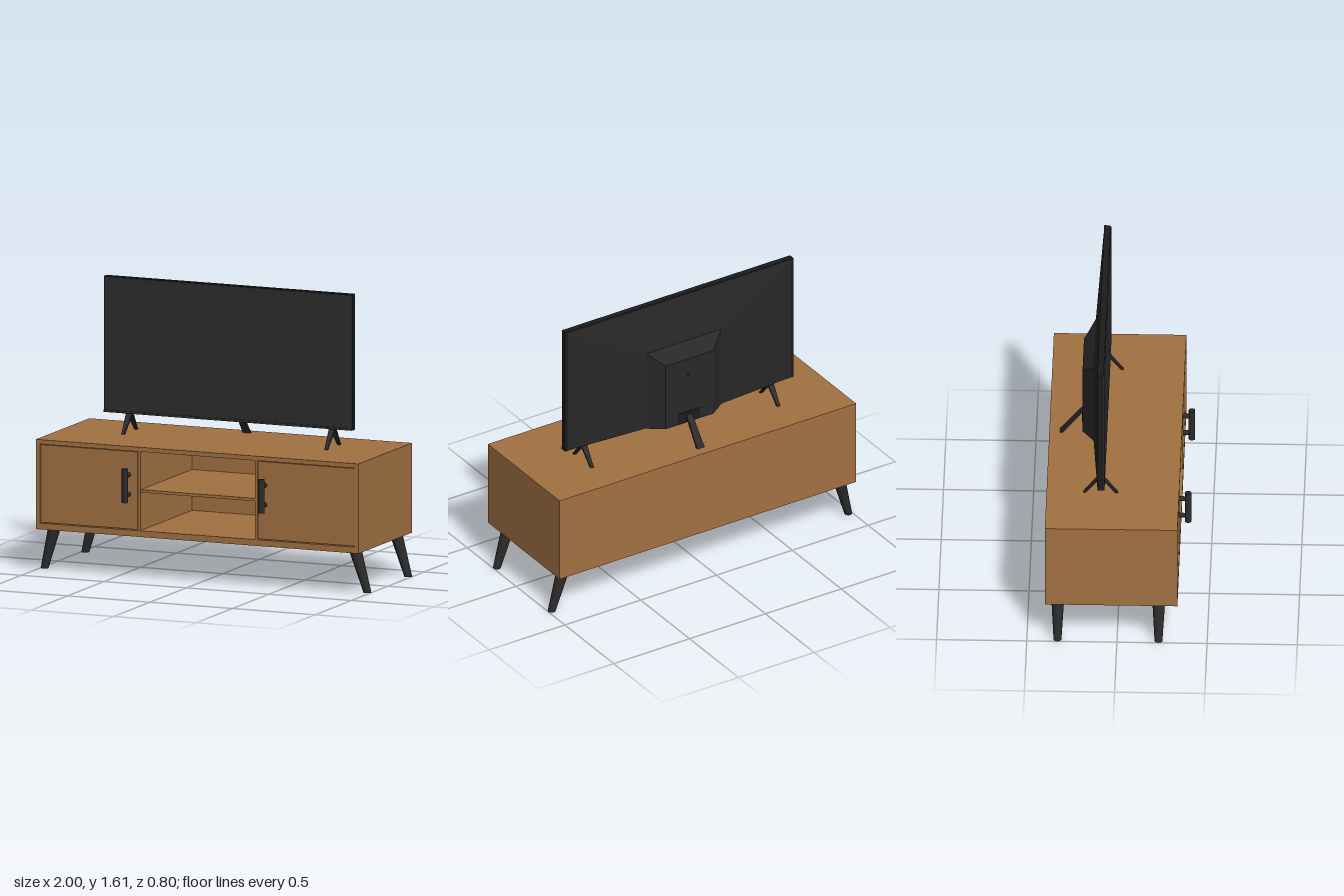
import * as THREE from 'three';
import { ConvexGeometry } from 'three/addons/geometries/ConvexGeometry.js';

const mat = (name, color) => new THREE.MeshStandardMaterial({ name, color });

export function createModel() {
  const model = new THREE.Group();
  model.name = 'televisionOnCabinet';
  const wood = mat('oak wood', 0xa27142);
  const dark = mat('charcoal', 0x2b2b2b);
  const frameMat = mat('frame black', 0x1c1c1c);
  const screenMat = mat('screen grey', 0x2d2d2d);
  const shellMat = mat('shell grey', 0x282828);

  const add = (parent, name, geometry, material) => {
    const mesh = new THREE.Mesh(geometry, material);
    mesh.name = name;
    parent.add(mesh);
    return mesh;
  };
  const group = (name) => {
    const g = new THREE.Group();
    g.name = name;
    model.add(g);
    return g;
  };
  // box given by its limits
  const box = (parent, name, material, x0, x1, y0, y1, z0, z1) => {
    const g = new THREE.BoxGeometry(x1 - x0, y1 - y0, z1 - z0);
    g.translate((x0 + x1) / 2, (y0 + y1) / 2, (z0 + z1) / 2);
    return add(parent, name, g, material);
  };
  // solid spanned by two rectangles: [x0, x1, y0, y1, z]
  const rect = ([x0, x1, y0, y1, z]) =>
    [[x0, y0], [x1, y0], [x1, y1], [x0, y1]].map(([x, y]) => new THREE.Vector3(x, y, z));
  const frustum = (a, b) => new ConvexGeometry([...rect(a), ...rect(b)]);
  // flat blade from a top to a bottom point in the y-z plane: [x, y, z, width]
  const blade = (top, bottom, t) => new ConvexGeometry([top, bottom].flatMap(([x, y, z, w]) =>
    [[-1, -1], [1, -1], [1, 1], [-1, 1]].map(([i, j]) =>
      new THREE.Vector3(x + i * w / 2, y, z + j * t / 2))));

  // cabinet carcass
  const cabinet = group('cabinet');
  const L = -0.985, R = 0.97, B = 0.235, T = 0.74, back = -0.4, front = 0.335;
  box(cabinet, 'topPanel', wood, L, R, 0.715, T, back, front);
  box(cabinet, 'bottomPanel', wood, L, R, B, 0.27, back, front);
  box(cabinet, 'rightPanel', wood, L, L + 0.025, 0.27, 0.715, back, front);
  box(cabinet, 'leftPanel', wood, R - 0.025, R, 0.27, 0.715, back, front);
  box(cabinet, 'backPanel', wood, L + 0.025, R - 0.025, 0.27, 0.715, back, back + 0.02);
  box(cabinet, 'rightDivider', wood, -0.368, -0.353, 0.27, 0.715, back + 0.02, front - 0.004);
  box(cabinet, 'leftDivider', wood, 0.34, 0.355, 0.27, 0.715, back + 0.02, front - 0.004);
  box(cabinet, 'shelf', wood, -0.353, 0.34, 0.484, 0.5, back + 0.02, front - 0.01);

  // doors with small gaps, and bar handles
  [['right', -0.957, -0.371, -0.425], ['left', 0.358, 0.942, 0.4]].forEach(([side, x0, x1, hx]) => {
    box(cabinet, side + 'Door', wood, x0, x1, 0.274, 0.711, front - 0.03, front - 0.007);
    const handle = group(side + 'Handle');
    const bar = add(handle, 'handleBar', new THREE.CylinderGeometry(0.018, 0.018, 0.19, 20), dark);
    bar.position.set(hx, 0.525, 0.38);
    for (const y of [0.47, 0.58]) {
      const post = add(handle, 'handlePost', new THREE.CylinderGeometry(0.013, 0.013, 0.06, 16), dark);
      post.rotation.x = Math.PI / 2;
      post.position.set(hx, y, 0.35);
    }
  });

  // splayed tapering legs, sheared so both ends stay level
  for (const s of [-1, 1]) {
    for (const z of [0.23, -0.33]) {
      const g = new THREE.CylinderGeometry(0.036, 0.022, 0.237, 24);
      g.translate(0, 0.1185, 0);
      const p = g.attributes.position;
      const slope = s * (s > 0 ? 0.074 : 0.061) / 0.237;
      for (let i = 0; i < p.count; i++) p.setX(i, p.getX(i) - slope * p.getY(i));
      g.computeVertexNormals();
      add(cabinet, (z > 0 ? 'front' : 'back') + (s > 0 ? 'Left' : 'Right') + 'Leg', g, dark)
        .position.set(s * 0.978, 0, z);
    }
  }

  // television panel
  const tv = group('television');
  box(tv, 'frame', frameMat, -0.755, 0.75, 0.845, 1.61, -0.115, -0.08);
  box(tv, 'screen', screenMat, -0.75, 0.745, 0.86, 1.605, -0.081, -0.076);
  box(tv, 'lowerBezel', screenMat, -0.755, 0.75, 0.845, 0.857, -0.081, -0.075);

  // sloping back shell and electronics housing
  add(tv, 'backShell', frustum([-0.753, 0.748, 0.847, 1.608, -0.114],
    [-0.26, 0.24, 0.847, 1.33, -0.148]), shellMat);
  add(tv, 'housing', frustum([-0.26, 0.24, 0.845, 1.33, -0.146],
    [-0.165, 0.15, 0.845, 1.25, -0.212]), shellMat);
  box(tv, 'standBracket', frameMat, -0.075, 0.07, 0.85, 0.915, -0.216, -0.21);
  const screw = add(tv, 'screw', new THREE.CylinderGeometry(0.008, 0.008, 0.006, 12), frameMat);
  screw.rotation.x = Math.PI / 2;
  screw.position.set(0, 1.15, -0.212);

  // forked side feet and the rear prop
  for (const x of [-0.608, 0.622]) {
    for (const s of [-1, 1]) {
      add(tv, 'foot', blade([x, 0.85, -0.1, 0.038], [x, 0.74, -0.1 + s * 0.088, 0.018], 0.014), dark);
    }
  }
  add(tv, 'rearProp', blade([-0.004, 0.895, -0.208, 0.036], [0, 0.74, -0.333, 0.046], 0.016), dark);

  return model;
}
